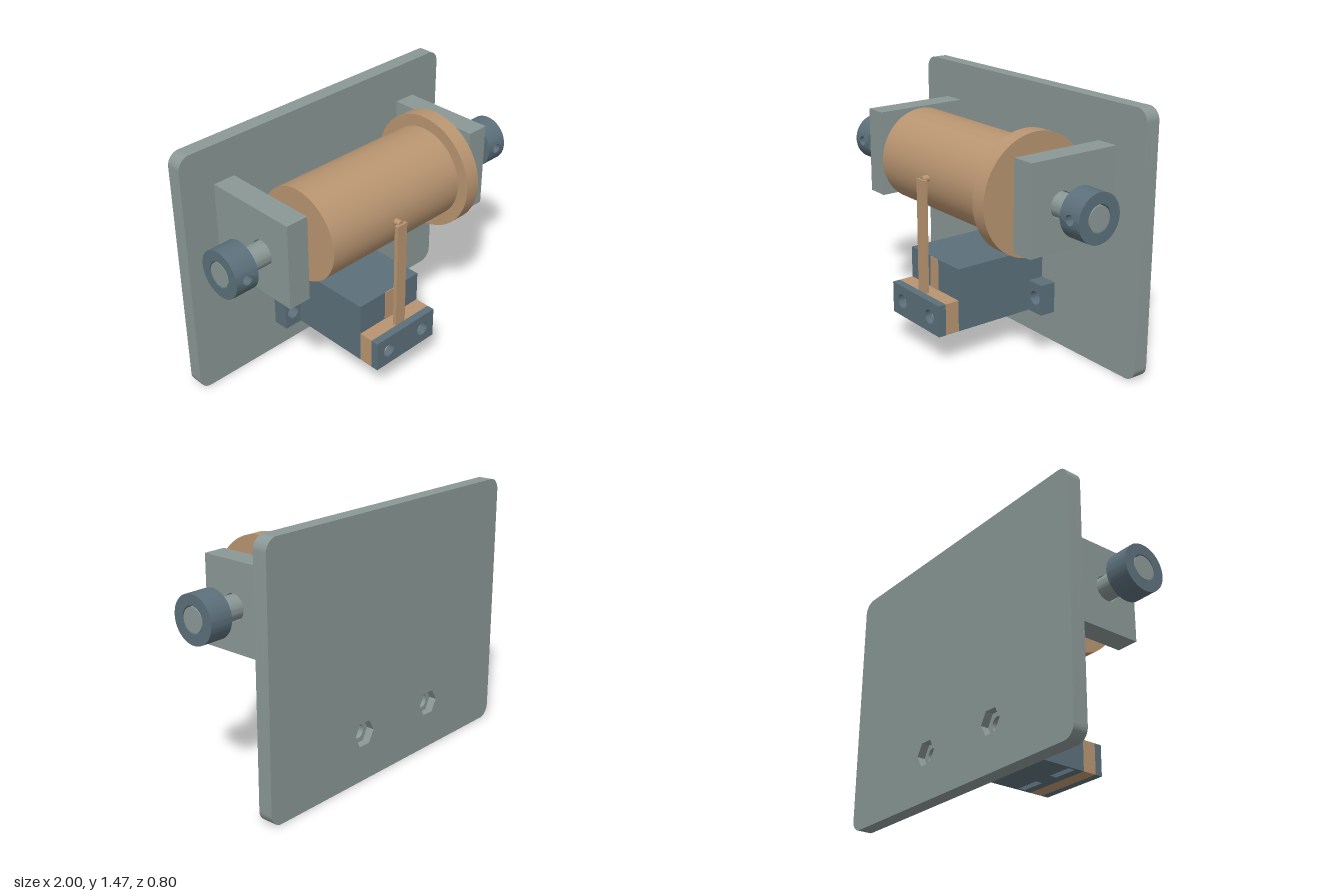
import * as THREE from 'three';
import { toCreasedNormals } from 'three/addons/utils/BufferGeometryUtils.js';

const grey = new THREE.MeshStandardMaterial({ name: 'grey plate', color: 0x8a9896 });
const slate = new THREE.MeshStandardMaterial({ name: 'slate', color: 0x5c707b });
const tan = new THREE.MeshStandardMaterial({ name: 'tan', color: 0xb99571 });

const AXLE_Y = 1.0, AXLE_Z = 0.042, BORE = 0.072;

// Closed polygon with optional holes; each hole is [x, y, radius, sides]
function outline(points, holes = []) {
  const s = new THREE.Shape(points.map(([x, y]) => new THREE.Vector2(x, y)));
  for (const h of holes) s.holes.push(circle(...h));
  return s;
}
const circle = (x, y, r, sides = 32) => new THREE.Path(
  Array.from({ length: sides }, (_, i) => {
    const a = (i / sides) * Math.PI * 2;
    return new THREE.Vector2(x + r * Math.cos(a), y + r * Math.sin(a));
  }));
const rect = (x0, x1, y0, y1) => [[x0, y0], [x1, y0], [x1, y1], [x0, y1]];

function extrude(shape, depth, curveSegments = 12) {
  return toCreasedNormals(
    new THREE.ExtrudeGeometry(shape, { depth, bevelEnabled: false, curveSegments }), 0.5);
}

export function createModel() {
  const model = new THREE.Group();
  const add = (name, geometry, material, parent = model) => {
    const mesh = new THREE.Mesh(geometry, material);
    mesh.name = name;
    parent.add(mesh);
    return mesh;
  };
  // Layer extruded along z
  const layer = (name, shape, z0, z1, material) => {
    const m = add(name, extrude(shape, z1 - z0), material);
    m.position.z = z0;
    return m;
  };
  const box = (name, x0, x1, y0, y1, z0, z1, material) =>
    layer(name, outline(rect(x0, x1, y0, y1)), z0, z1, material);
  // Ring about the axle; gap is the half angle left open towards the front
  const ring = (name, x0, x1, outer, inner, material, gap = 0) => {
    const s = new THREE.Shape();
    if (gap) {
      s.absarc(0, 0, outer, gap - Math.PI, Math.PI - gap, false);
      s.absarc(0, 0, inner, Math.PI - gap, gap - Math.PI, true);
    } else {
      s.absarc(0, 0, outer, 0, Math.PI * 2, false);
      if (inner) s.holes.push(circle(0, 0, inner, 64));
    }
    const m = add(name, extrude(s, x1 - x0, 48).rotateY(Math.PI / 2), material);
    m.position.set(x0, AXLE_Y, AXLE_Z);
    return m;
  };

  // Back plate: rounded corners, mounting holes with hexagonal nut recesses behind
  const mountX = [-0.325, 0.23], mountY = 0.27;
  const plateShape = (r, sides) => {
    const s = new THREE.Shape(), w = 0.933, h = 1.465, c = 0.07;
    s.absarc(w - c, c, c, -Math.PI / 2, 0);
    s.absarc(w - c, h - c, c, 0, Math.PI / 2);
    s.absarc(-w + c, h - c, c, Math.PI / 2, Math.PI);
    s.absarc(-w + c, c, c, Math.PI, Math.PI * 1.5);
    for (const x of mountX) s.holes.push(circle(x, mountY, r, sides));
    return s;
  };
  layer('backPlateRear', plateShape(0.075, 6), -0.4, -0.355, grey);
  layer('backPlateFront', plateShape(0.04, 32), -0.355, -0.315, grey);

  // Axle
  ring('axle', -1, 1, 0.066, 0, grey);

  for (const side of [-1, 1]) {
    const label = side > 0 ? 'left' : 'right';
    const span = (a, b) => (side > 0 ? [a, b] : [-b, -a]);

    // Bearing bracket, bored for the axle
    const bracket = outline(rect(-0.24, 0.315, 0.755, 1.245), [[-AXLE_Z, AXLE_Y, BORE, 64]]);
    const b = add(label + 'Bracket', extrude(bracket, 0.13).rotateY(Math.PI / 2), grey);
    b.position.x = span(0.6, 0.73)[0];

    // Collar with a set-screw hole in its bent front section
    const [c0, c1] = span(0.865, 1), R = 0.132, gap = 0.3, half = R * Math.sin(gap);
    ring(label + 'Collar', c0, c1, R, BORE, slate, gap);
    const edge = [-1, -0.5, 0, 0.5, 1].map((t) => t * half);
    const pts = [...edge.map((y) => [c1, y]), ...edge.map((y) => [c0, -y])];
    const patch = new THREE.ExtrudeGeometry(
      outline(pts, [[(c0 + c1) / 2, 0, 0.028, 32]]), { depth: 1, bevelEnabled: false });
    const p = patch.attributes.position;
    for (let i = 0; i < p.count; i++) {
      const r = p.getZ(i) > 0.5 ? R : BORE;
      p.setZ(i, Math.sqrt(r * r - p.getY(i) ** 2));
    }
    patch.computeVertexNormals();
    add(label + 'CollarScrewHole', toCreasedNormals(patch, 0.5), slate)
      .position.set(0, AXLE_Y, AXLE_Z);

    // Retaining ring beside the drum
    const [w0, w1] = side > 0 ? [0.555, 0.572] : [-0.556, -0.539];
    ring(label + 'RetainingRing', w0, w1, 0.11, 0.06, slate);
  }

  // Drum and its end flange
  ring('drum', -0.49, 0.44, 0.265, BORE, tan);
  ring('drumFlange', 0.44, 0.53, 0.332, BORE, tan);

  // Support block: blind screw holes in front, nut slots open at the bottom
  const X0 = -0.27, X1 = 0.175, Y0 = 0.18, Y1 = 0.36, TOP = 0.54;
  const screws = [-0.18, 0.085].map((x) => [x, 0.27, 0.04, 32]);
  const slotted = [[X0, Y0]];
  for (const [x] of screws)
    slotted.push([x - 0.075, Y0], [x - 0.075, 0.34], [x + 0.075, 0.34], [x + 0.075, Y0]);
  slotted.push([X1, Y0], [X1, TOP], [X0, TOP]);
  box('supportBlock', X0, X1, Y0, TOP, -0.315, 0.175, slate);
  layer('supportBlockNutSlots', outline(slotted), 0.175, 0.22, slate);
  layer('supportBlockFront', outline(rect(X0, X1, Y0, TOP), screws), 0.22, 0.27, slate);

  // Mounting ears
  [[-0.38, X0], [X1, 0.285]].forEach(([a, b], i) =>
    layer('mountingEar', outline(rect(a, b, Y0, Y1), [[mountX[i], mountY, 0.04, 32]]),
      -0.315, -0.22, slate));

  // Clamp: spacer block and front plate sharing the screw holes
  layer('clampSpacer', outline(rect(X0, X1, Y0, Y1), screws), 0.27, 0.355, tan);
  layer('clampPlate', outline(rect(X0, X1, Y0, Y1), screws), 0.355, 0.4, slate);

  // Reed arm, its contact pin, and the strip on the block behind it
  box('reedArm', -0.082, -0.012, Y1, 1.0, 0.333, 0.355, tan);
  box('reedStrip', -0.082, -0.012, Y1, TOP, 0.269, 0.274, tan);
  const pin = new THREE.CylinderGeometry(0.018, 0.018, 0.045, 24).rotateX(Math.PI / 2);
  add('reedPin', pin, tan).position.set(-0.047, AXLE_Y, 0.322);

  return model;
}
